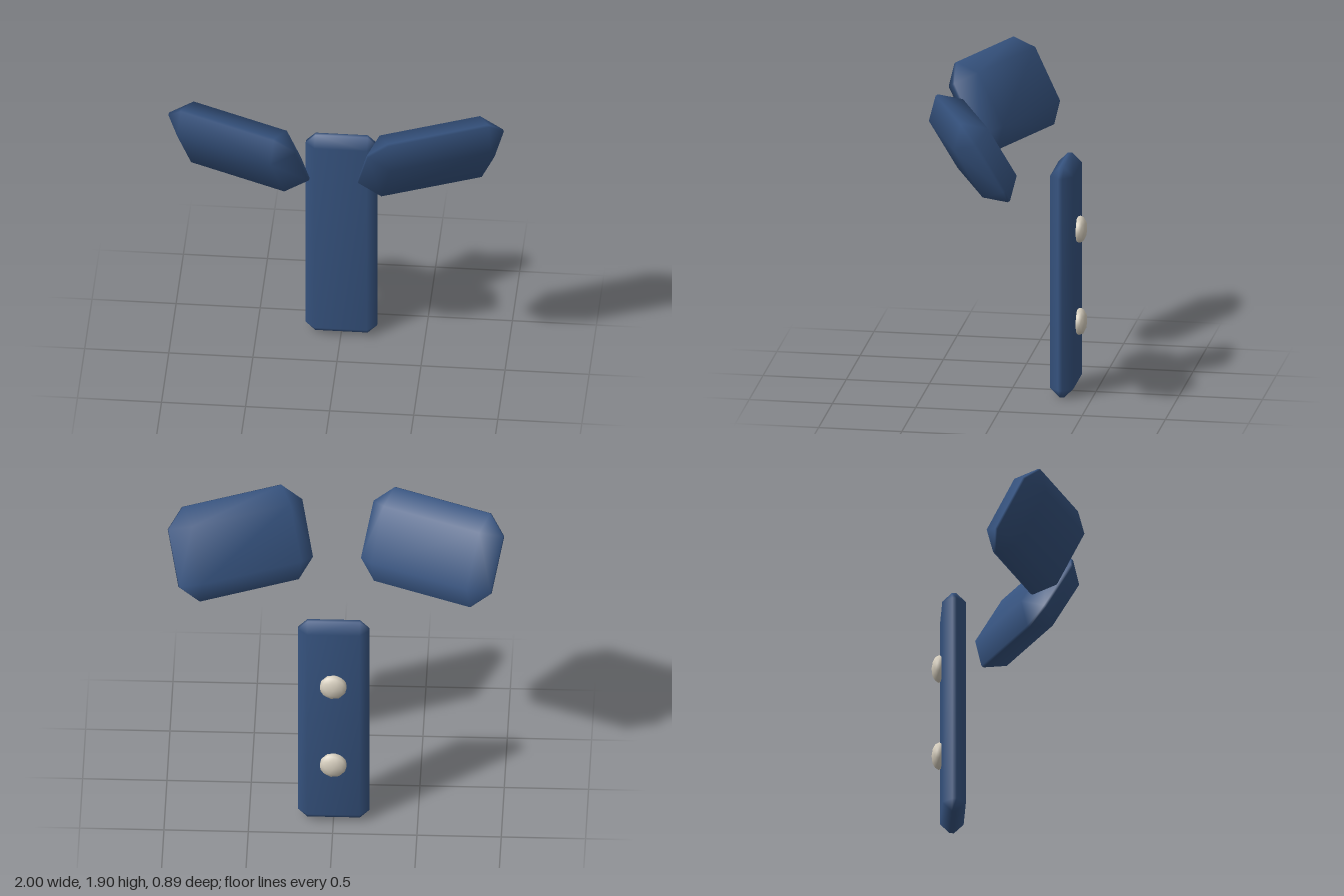
import * as THREE from 'three';
import { ConvexGeometry } from 'three/addons/geometries/ConvexGeometry.js';
import { mergeVertices } from 'three/addons/utils/BufferGeometryUtils.js';

// Box with straight chamfers and smoothly blended normals
function chamferBox(w, h, d, b) {
  const half = [w / 2, h / 2, d / 2];
  const points = [];
  for (const sx of [-1, 1]) for (const sy of [-1, 1]) for (const sz of [-1, 1]) {
    for (let axis = 0; axis < 3; axis++) {
      const p = half.map((s, i) => (i === axis ? s : s - b));
      points.push(new THREE.Vector3(p[0] * sx, p[1] * sy, p[2] * sz));
    }
  }
  const geometry = new ConvexGeometry(points);
  geometry.deleteAttribute('normal');
  const smooth = mergeVertices(geometry, 1e-4);
  smooth.computeVertexNormals();
  return smooth;
}

export function createModel() {
  const model = new THREE.Group();
  model.name = 'collarAndPlacket';

  const fabric = new THREE.MeshStandardMaterial({ color: 0x36537f });
  fabric.name = 'blue fabric';
  const shell = new THREE.MeshStandardMaterial({ color: 0xd8d0c0 });
  shell.name = 'ivory button';

  const add = (name, geometry, material, x, y, z) => {
    const mesh = new THREE.Mesh(geometry, material);
    mesh.name = name;
    mesh.position.set(x, y, z);
    model.add(mesh);
    return mesh;
  };

  // Upright placket strip
  add('placket', chamferBox(0.425, 1.425, 0.14, 0.057), fabric, 0, 0.7125, -0.32);

  // Mirrored collar wings, leaning forward and swept outward
  const wing = chamferBox(0.85, 0.574, 0.24, 0.112);
  for (const side of [1, -1]) {
    const mesh = add(side > 0 ? 'leftCollarWing' : 'rightCollarWing', wing, fabric, side * 0.57, 1.643, 0.145);
    mesh.rotation.set(Math.PI / 6, side * 0.405, 0, 'YXZ');
  }

  // Flattened faceted buttons, a corner pointing up
  const button = new THREE.IcosahedronGeometry(0.083, 1);
  button.rotateZ(Math.PI / 2 - Math.atan((1 + Math.sqrt(5)) / 2));
  button.scale(1, 1, 0.53);
  add('upperButton', button, shell, 0, 1.0, -0.403);
  add('lowerButton', button, shell, 0, 0.43, -0.403);

  return model;
}
